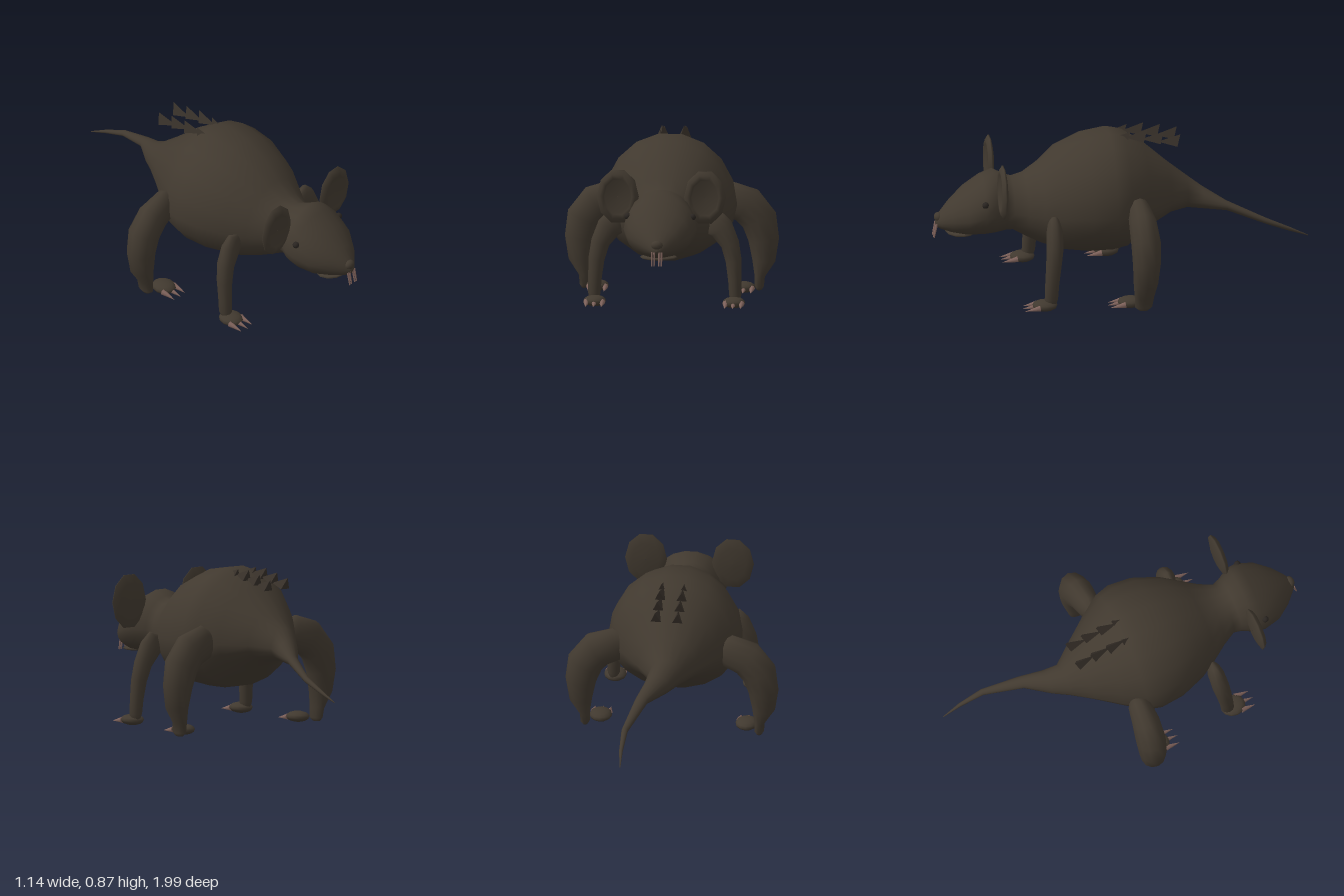
import * as THREE from 'three';
import { ConvexGeometry } from 'three/addons/geometries/ConvexGeometry.js';

const mat = (name, color, extra = {}) => {
  const m = new THREE.MeshStandardMaterial({ color, ...extra });
  m.name = name;
  return m;
};

// Skin through rings of points, closed around each ring
function loft(rings) {
  const n = rings[0].length, index = [];
  for (let i = 0; i < rings.length - 1; i++) {
    for (let j = 0; j < n; j++) {
      const a = i * n + j, b = i * n + (j + 1) % n;
      index.push(a, b, a + n, b, b + n, a + n);
    }
  }
  const g = new THREE.BufferGeometry();
  g.setAttribute('position', new THREE.Float32BufferAttribute(rings.flat(2), 3));
  g.setIndex(index);
  g.computeVertexNormals();
  return g;
}

const circle = (n, f) => Array.from({ length: n }, (_, j) => {
  const t = (j / n) * Math.PI * 2;
  return f(Math.cos(t), Math.sin(t));
});

// Tapered limb along [x, y, z, half width, half depth]; s mirrors it
function limb(path, s) {
  return loft(path.map(([x, y, z, a, b], i) => {
    const p = path[Math.max(i - 1, 0)], q = path[Math.min(i + 1, path.length - 1)];
    const t = new THREE.Vector2((q[0] - p[0]) * s, q[1] - p[1]).normalize();
    return circle(12, (c, d) => [x * s - t.y * a * c, y + t.x * a * c, z + b * d]);
  }));
}

export function createModel() {
  const root = new THREE.Group();
  const fur = mat('dark brown fur', 0x41392f);
  const spikeFur = mat('back spike brown', 0x373029, { flatShading: true });
  const claw = mat('pinkish claw', 0x7d615a);
  const dark = mat('dark eye', 0x2a2521);

  const add = (name, geo, material, pos = [0, 0, 0], scale = [1, 1, 1]) => {
    const m = new THREE.Mesh(geo, material);
    m.name = name;
    m.position.set(...pos);
    m.scale.set(...scale);
    root.add(m);
    return m;
  };

  // Tail, trunk and head: z, centre x, widest y, half width, top y, bottom y
  const sections = [
    [-1, 0.16, 0.265, 0.002, 0.267, 0.262],
    [-0.9, 0.168, 0.31, 0.01, 0.32, 0.298],
    [-0.77, 0.165, 0.362, 0.017, 0.38, 0.346],
    [-0.57, 0.1, 0.44, 0.035, 0.465, 0.413],
    [-0.45, 0.035, 0.46, 0.068, 0.53, 0.41],
    [-0.37, 0, 0.48, 0.088, 0.585, 0.41],
    [-0.27, 0, 0.49, 0.165, 0.665, 0.4],
    [-0.14, 0, 0.49, 0.262, 0.78, 0.33],
    [-0.03, 0, 0.49, 0.335, 0.855, 0.235],
    [0.05, 0, 0.49, 0.357, 0.872, 0.22],
    [0.18, 0, 0.49, 0.345, 0.85, 0.216],
    [0.32, 0, 0.48, 0.292, 0.79, 0.23],
    [0.42, 0, 0.47, 0.23, 0.7, 0.265],
    [0.5, 0, 0.47, 0.175, 0.65, 0.305],
    [0.57, 0, 0.47, 0.138, 0.635, 0.345],
    [0.61, 0, 0.48, 0.15, 0.65, 0.345],
    [0.67, 0, 0.48, 0.185, 0.68, 0.34],
    [0.73, 0, 0.475, 0.195, 0.65, 0.336],
    [0.82, 0, 0.45, 0.17, 0.59, 0.337],
    [0.9, 0, 0.43, 0.11, 0.515, 0.35],
    [0.95, 0, 0.41, 0.055, 0.46, 0.365],
    [0.975, 0, 0.4, 0.025, 0.425, 0.38],
    [0.98, 0, 0.4, 0.001, 0.401, 0.399],
  ];
  add('body', loft(sections.map(([z, x, y, r, top, bottom]) =>
    circle(18, (c, d) => [x + r * c, y + d * (d > 0 ? top - y : y - bottom), z]))), fur);

  const ball = new THREE.SphereGeometry(1, 12, 8);
  add('lowerJaw', ball, fur, [0, 0.347, 0.84], [0.1, 0.014, 0.085]);
  add('nose', ball, fur, [0, 0.43, 0.96], [0.032, 0.026, 0.025]);

  const frontPath = [
    [0.24, 0.46, 0.385, 0.03, 0.015], [0.265, 0.45, 0.385, 0.07, 0.032],
    [0.3, 0.42, 0.385, 0.066, 0.044], [0.345, 0.34, 0.39, 0.05, 0.046],
    [0.365, 0.25, 0.4, 0.043, 0.042], [0.372, 0.15, 0.41, 0.036, 0.038],
    [0.375, 0.07, 0.415, 0.033, 0.036], [0.375, 0.03, 0.42, 0.02, 0.028],
    [0.375, 0.02, 0.42, 0.001, 0.001],
  ];
  const hindPath = [
    [0.25, 0.5, -0.07, 0.05, 0.03], [0.3, 0.5, -0.07, 0.095, 0.06],
    [0.4, 0.465, -0.075, 0.102, 0.075], [0.465, 0.385, -0.08, 0.097, 0.08],
    [0.488, 0.28, -0.08, 0.082, 0.075], [0.488, 0.17, -0.075, 0.062, 0.066],
    [0.467, 0.085, -0.07, 0.028, 0.052], [0.465, 0.03, -0.066, 0.025, 0.046],
    [0.465, 0.012, -0.066, 0.014, 0.025], [0.465, 0.01, -0.066, 0.001, 0.001],
  ];
  // Ear rings from the back to the recessed front: size factor, z
  const earRings = [[0.01, 0.632], [0.65, 0.634], [1, 0.645], [1, 0.652],
    [0.84, 0.668], [0.68, 0.668], [0.62, 0.658], [0.01, 0.656]];

  const clawGeo = new THREE.ConeGeometry(0.017, 0.085, 8).rotateX(Math.PI / 2 + 0.15);
  const toothGeo = new THREE.CylinderGeometry(0.006, 0.004, 0.075, 6).rotateX(-0.2);

  for (const s of [1, -1]) {
    add('frontLeg', limb(frontPath, s), fur);
    add('hindLeg', limb(hindPath, s), fur);

    // Paws with three claws
    for (const [name, x, z] of [['front', 0.37, 0.45], ['hind', 0.39, -0.005]]) {
      add(name + 'Paw', ball, fur, [s * x, 0.036, z], [0.06, 0.029, 0.068]);
      for (const k of [-1, 0, 1]) {
        add(name + 'Claw', clawGeo, claw,
          [s * x + k * 0.042, 0.028, z + 0.078 - Math.abs(k) * 0.006]);
      }
    }

    // Ear with a raised rim
    add('ear', loft(earRings.map(([f, z]) => circle(10, (c, d) =>
      [s * 0.232 + 0.112 * f * c, 0.636 + 0.148 * f * d, z]))), fur);
    add('eye', ball, dark, [s * 0.172, 0.545, 0.735], [0.018, 0.018, 0.018]);

    // Paired front teeth
    for (const x of [0.013, 0.026]) add('tooth', toothGeo, claw, [s * x, 0.36, 0.98]);

    // Row of spikes swept back along the spine
    [[-0.06, 0.87], [-0.15, 0.875], [-0.24, 0.86], [-0.33, 0.84]].forEach(([z, y]) => {
      const points = [[0.05, y - 0.037, z + 0.12], [0.06, y, z],
        [0.03, y - 0.06, z + 0.02], [0.085, y - 0.06, z + 0.02]];
      add('backSpike', new ConvexGeometry(points.map(([px, py, pz]) =>
        new THREE.Vector3(s * px, py, pz))), spikeFur);
    });
  }
  return root;
}
